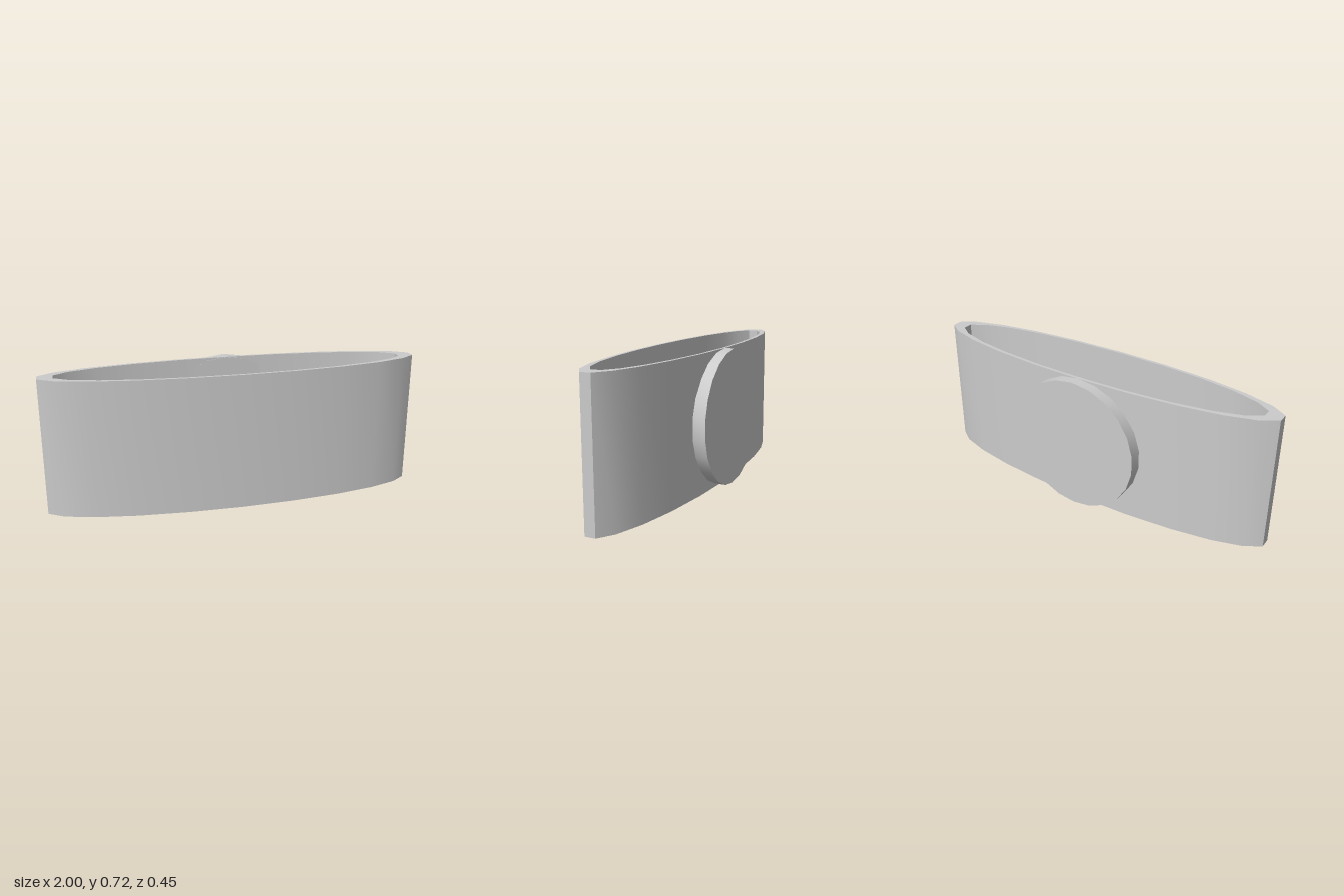
import * as THREE from 'three';
import { toCreasedNormals } from 'three/addons/utils/BufferGeometryUtils.js';

const SIDES = 22;
const HEIGHT = 0.722;
const CREASE = Math.PI / 5;

// Points of a flat-ended oval, half a step off the long axis
function oval(rx, rz) {
  const points = [];
  for (let i = 0; i < SIDES; i++) {
    const a = ((i + 0.5) / SIDES) * Math.PI * 2;
    points.push(new THREE.Vector2(rx * Math.cos(a), rz * Math.sin(a)));
  }
  return points;
}

export function createModel() {
  const group = new THREE.Group();
  const material = new THREE.MeshStandardMaterial({ color: 0xcccccc });

  // Open oval band with a wall that is thin front and back, thicker at the ends
  const shape = new THREE.Shape(oval(1.0103, 0.196));
  shape.holes.push(new THREE.Path(oval(0.93, 0.18)));
  const bandGeometry = new THREE.ExtrudeGeometry(shape, { depth: HEIGHT, bevelEnabled: false });
  bandGeometry.rotateX(-Math.PI / 2);
  const band = new THREE.Mesh(toCreasedNormals(bandGeometry, CREASE), material);
  band.name = 'band';
  band.position.z = 0.027;
  group.add(band);

  // Round disc set through the back wall, just showing on the inside
  const back = -0.223, front = -0.148;
  const discGeometry = new THREE.CylinderGeometry(HEIGHT / 2, HEIGHT / 2, front - back, SIDES);
  discGeometry.rotateX(Math.PI / 2);
  const disc = new THREE.Mesh(toCreasedNormals(discGeometry, CREASE), material);
  disc.name = 'backDisc';
  disc.position.set(0, HEIGHT / 2, (front + back) / 2);
  group.add(disc);

  return group;
}
